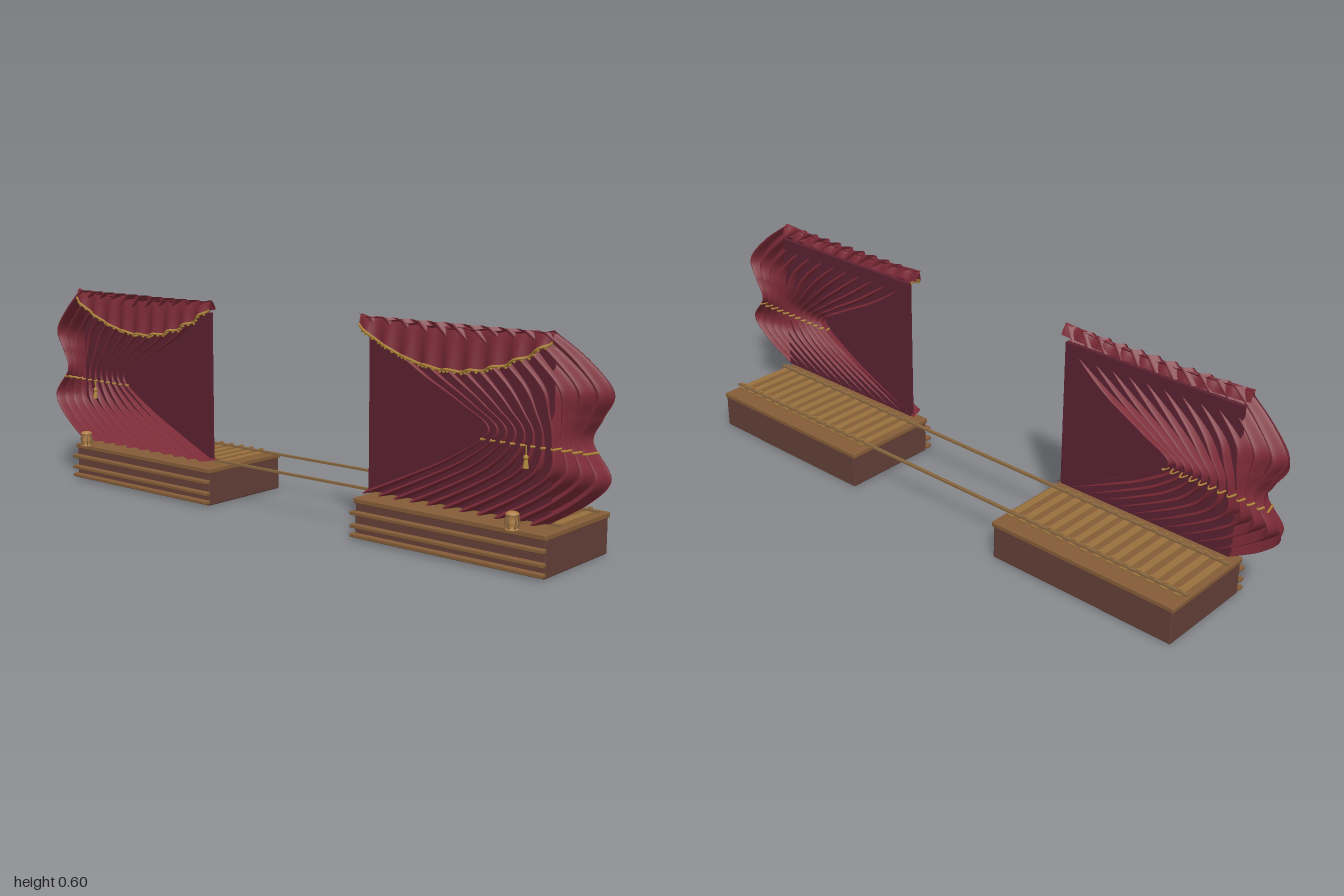
import * as THREE from 'three';
import { ParametricGeometry } from 'three/addons/geometries/ParametricGeometry.js';
import { RoundedBoxGeometry } from 'three/addons/geometries/RoundedBoxGeometry.js';

const mat = (name, color, side = THREE.FrontSide) => {
  const m = new THREE.MeshStandardMaterial({ color, side });
  m.name = name;
  return m;
};

// Smooth curve through [height, value] pairs, returned as a lookup by 0..1
const profile = (pairs) => {
  const curve = new THREE.SplineCurve(pairs.map(([y, v]) => new THREE.Vector2(y, v)));
  return (t) => curve.getPoint(t);
};

export function createModel() {
  const model = new THREE.Group();
  model.name = 'curtainedTrackPlatforms';
  const M = {
    base: mat('base brown', 0x633f37),
    deck: mat('deck wood', 0x855c38),
    sleeper: mat('light wood', 0x99703f),
    rail: mat('rail bronze', 0x866540),
    panel: mat('dark wine', 0x5a2130),
    cloth: mat('wine cloth', 0x7a2a36, THREE.DoubleSide),
    gold: mat('gold trim', 0xae8438),
    lantern: mat('lantern tan', 0xb08048),
  };

  const add = (parent, name, geo, material, x = 0, y = 0, z = 0) => {
    const mesh = new THREE.Mesh(geo, material);
    mesh.name = name;
    mesh.position.set(x, y, z);
    parent.add(mesh);
    return mesh;
  };
  // Box given by its limits; optional rounding
  const block = (parent, name, m, [x0, x1], [y0, y1], [z0, z1], r = 0) => {
    const size = [x1 - x0, y1 - y0, Math.abs(z1 - z0)];
    const geo = r ? new RoundedBoxGeometry(...size, 2, r) : new THREE.BoxGeometry(...size);
    return add(parent, name, geo, m, (x0 + x1) / 2, (y0 + y1) / 2, (z0 + z1) / 2);
  };
  const tube = (parent, name, points, radius, m, segments = 120) =>
    add(parent, name, new THREE.TubeGeometry(new THREE.CatmullRomCurve3(points), segments, radius, 6), m);

  // Drape outline: gathered at the tie, flaring above and below it
  const heights = [0.13, 0.195, 0.26, 0.34, 0.4, 0.465, 0.54, 0.6];
  const along = (values) => profile(heights.map((y, i) => [y, values[i]]));
  const inner = along([0.28, 0.42, 0.55, 0.66, 0.57, 0.44, 0.33, 0.28]);
  const outer = along([0.85, 0.95, 1.0, 0.945, 0.97, 1.0, 0.94, 0.86]);
  const centre = along([-0.113, -0.103, -0.094, -0.085, -0.084, -0.09, -0.102, -0.115]);
  const depth = along([0.026, 0.025, 0.022, 0.02, 0.02, 0.018, 0.013, 0.008]);
  const FOLDS = 11;
  const drapePoint = (u, v, s, target) => {
    const a = inner(v), b = outer(v).y;
    const fold = Math.cos(u * Math.PI * 2 * FOLDS);
    return target.set(centre(v).y + depth(v).y * fold, a.x, s * (a.y + (b - a.y) * u));
  };

  // Swag: one broad hanging curve with small ripples
  const swagPoint = (u, v, s, target) => {
    const sag = Math.sin(Math.PI * u);
    const ripple = Math.cos(u * Math.PI * 2 * 9);
    const top = 0.602 - 0.012 * sag + 0.002 * ripple;
    const drop = 0.022 + 0.085 * Math.pow(sag, 0.8) + 0.005 * ripple;
    return target.set(-0.11 - 0.017 * Math.sqrt(v) + 0.005 * ripple * (0.4 + v),
      top - drop * v, s * (0.275 + 0.585 * u));
  };

  for (const s of [1, -1]) {
    const half = new THREE.Group();
    half.name = s > 0 ? 'frontPlatform' : 'rearPlatform';
    model.add(half);
    const span = (a, b) => [s * a, s * b];

    // Platform with side boards
    block(half, 'platformBase', M.base, [-0.132, 0.174], [0, 0.101], span(0.275, 0.862), 0.004);
    block(half, 'deck', M.deck, [-0.135, 0.176], [0.097, 0.112], span(0.27, 0.866), 0.003);
    for (const y of [0.012, 0.038, 0.073])
      block(half, 'sideBoard', M.deck, [-0.15, -0.131], [y - 0.005, y + 0.005], span(0.27, 0.866), 0.002);

    // Sleepers with rail spikes
    for (let i = 0; i < 14; i++) {
      const z = 0.295 + i * 0.042;
      block(half, 'sleeper', M.sleeper, [-0.073, 0.129], [0.111, 0.121], span(z - 0.011, z + 0.011));
      for (const x of [-0.068, 0.117])
        block(half, 'railSpike', M.sleeper, [x - 0.003, x + 0.003], [0.12, 0.132], span(z - 0.006, z + 0.006));
    }

    // Backing panel
    block(half, 'backingPanel', M.panel, [-0.1, -0.087], [0.13, 0.565], span(0.295, 0.85));

    // Pleated drape
    add(half, 'drape', new ParametricGeometry((u, v, t) => drapePoint(u, v, s, t), 176, 56), M.cloth);

    // Gold tie on both faces of the gathered folds
    const tieV = 0.385;
    for (const side of [1, -1]) {
      const points = [];
      for (let i = 0; i <= 88; i++) {
        const p = drapePoint(i / 88, tieV, s, new THREE.Vector3());
        p.x += side * 0.002;
        points.push(p);
      }
      tube(half, 'tieBand', points, 0.003, M.gold, 176);
    }

    // Tassel hanging from the tie
    const tassel = new THREE.Group();
    tassel.name = 'tassel';
    tassel.position.set(-0.114, 0.29, s * 0.79);
    half.add(tassel);
    add(tassel, 'tasselCord', new THREE.CylinderGeometry(0.002, 0.002, 0.03, 6), M.gold, 0, 0.015, 0);
    add(tassel, 'tasselKnot', new THREE.SphereGeometry(0.007, 10, 8), M.gold);
    add(tassel, 'tasselSkirt', new THREE.CylinderGeometry(0.004, 0.008, 0.025, 10), M.gold, 0, -0.014, 0);

    // Swag and its fringe
    add(half, 'swag', new ParametricGeometry((u, v, t) => swagPoint(u, v, s, t), 120, 12), M.cloth);
    const hem = [];
    for (let i = 0; i <= 72; i++) hem.push(swagPoint(i / 72, 1, s, new THREE.Vector3()));
    tube(half, 'swagTrim', hem, 0.004, M.gold);
    for (let i = 1; i < 36; i++) {
      const p = hem[i * 2];
      add(half, 'fringeBead', new THREE.SphereGeometry(0.004, 6, 5), M.gold, p.x, p.y - 0.005, p.z);
    }
    // Ruffled heading above the panel
    const heading = (u, v, t) => {
      const ripple = Math.cos(u * Math.PI * 2 * 9);
      const y = 0.602 - 0.012 * Math.sin(Math.PI * u) + 0.002 * ripple;
      return t.set(-0.122 + 0.022 * v + 0.003 * ripple, y - 0.028 * v * v, s * (0.272 + 0.59 * u));
    };
    add(half, 'heading', new ParametricGeometry(heading, 100, 5), M.cloth);

    // Lantern beside the deck edge
    const lantern = new THREE.Group();
    lantern.name = 'lantern';
    lantern.position.set(-0.16, 0.117, s * 0.785);
    half.add(lantern);
    const body = [[0, 0], [0.017, 0], [0.017, 0.004], [0.011, 0.005], [0.014, 0.014], [0.015, 0.024],
      [0.012, 0.036], [0.017, 0.038], [0.017, 0.042], [0.011, 0.046], [0, 0.046]];
    add(lantern, 'lanternBody',
      new THREE.LatheGeometry(body.map(([r, y]) => new THREE.Vector2(r, y)), 16), M.lantern);
    for (let i = 0; i < 6; i++) {
      const a = i * Math.PI / 3;
      const rib = [[0.013, 0.004], [0.017, 0.014], [0.0175, 0.026], [0.013, 0.038]]
        .map(([r, y]) => new THREE.Vector3(r * Math.cos(a), y, r * Math.sin(a)));
      tube(lantern, 'lanternRib', rib, 0.0018, M.rail, 8);
    }
  }

  // Rails joining both platforms
  for (const x of [-0.068, 0.117])
    block(model, 'rail', M.rail, [x - 0.005, x + 0.005], [0.12, 0.126], [-0.866, 0.866]);

  return model;
}
